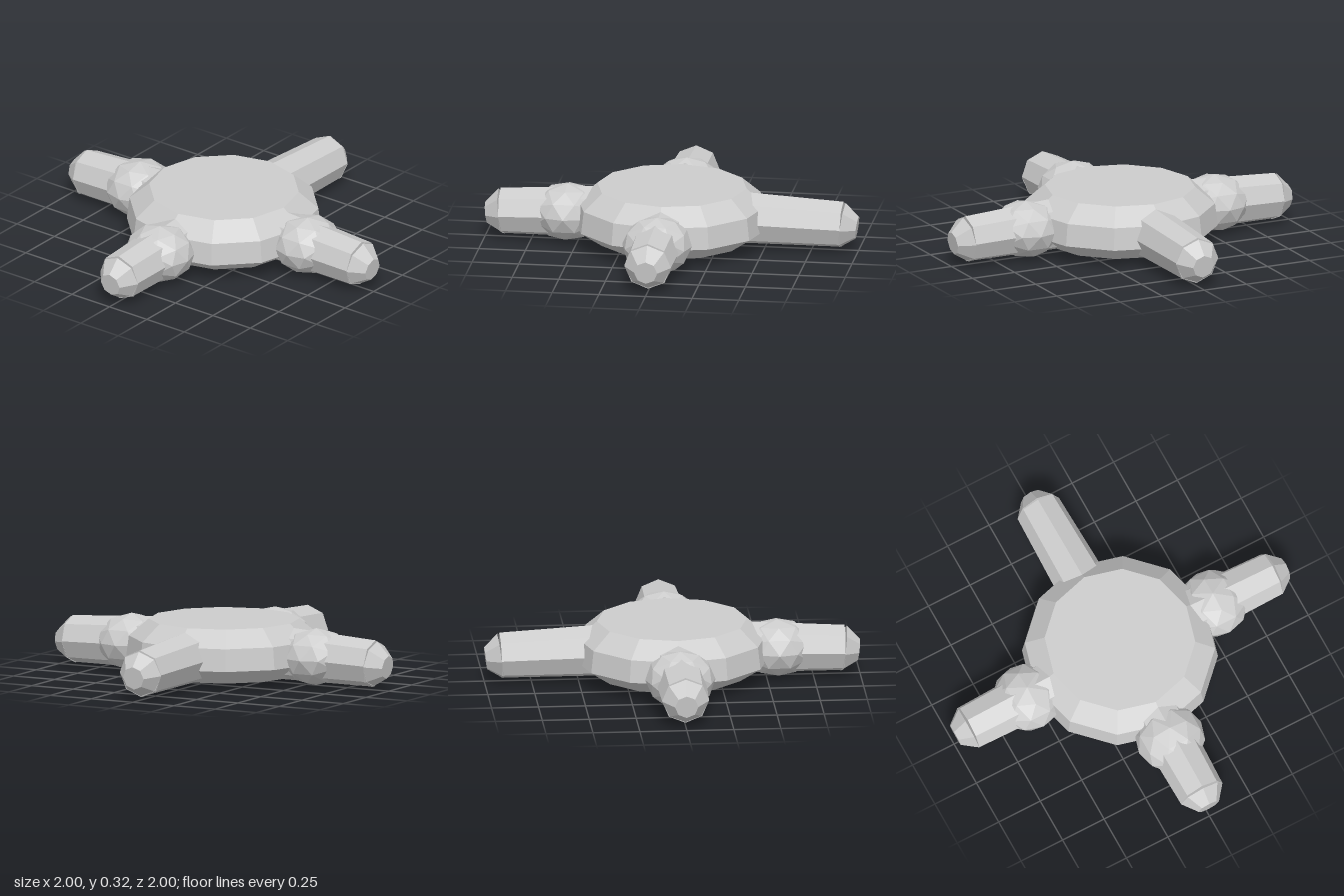
import * as THREE from 'three';

const grey = new THREE.MeshStandardMaterial({ color: 0xcccccc, flatShading: true });
grey.name = 'lightGrey';

function part(name, geometry, y = 0, z = 0, tilt = 0) {
  const mesh = new THREE.Mesh(geometry, grey);
  mesh.name = name;
  mesh.position.set(0, y, z);
  mesh.rotation.x = tilt;
  return mesh;
}

// One arm pointing along +z, with an optional faceted joint near the body
function makeArm(name, hasJoint) {
  const arm = new THREE.Group();
  arm.name = name;
  arm.add(part('armTube', new THREE.CylinderGeometry(0.125, 0.145, 0.675, 8), 0.155, 0.577, Math.PI / 2 + 0.03));
  // Tapered tip, drooping slightly away from the tube
  arm.add(part('armTip', new THREE.CylinderGeometry(0.062, 0.125, 0.079, 8), 0.135, 0.953, Math.PI / 2 + 0.13));
  if (hasJoint) {
    const joint = new THREE.IcosahedronGeometry(1, 1).scale(0.187, 0.153, 0.187);
    arm.add(part('joint', joint, 0.156, 0.56));
  }
  return arm;
}

export function createModel() {
  const model = new THREE.Group();
  model.name = 'fourArmedHub';

  // Twelve-sided body with bevelled rims
  const profile = [[0, 0.03], [0.4, 0.03], [0.52, 0.11], [0.505, 0.23], [0.4, 0.32], [0, 0.32]]
    .map(([r, y]) => new THREE.Vector2(r, y));
  model.add(part('body', new THREE.LatheGeometry(profile, 12)));

  // Four arms; the back one has no joint
  ['frontArm', 'leftArm', 'backArm', 'rightArm'].forEach((name, i) => {
    const arm = makeArm(name, name !== 'backArm');
    arm.rotation.y = i * Math.PI / 2;
    model.add(arm);
  });
  return model;
}
